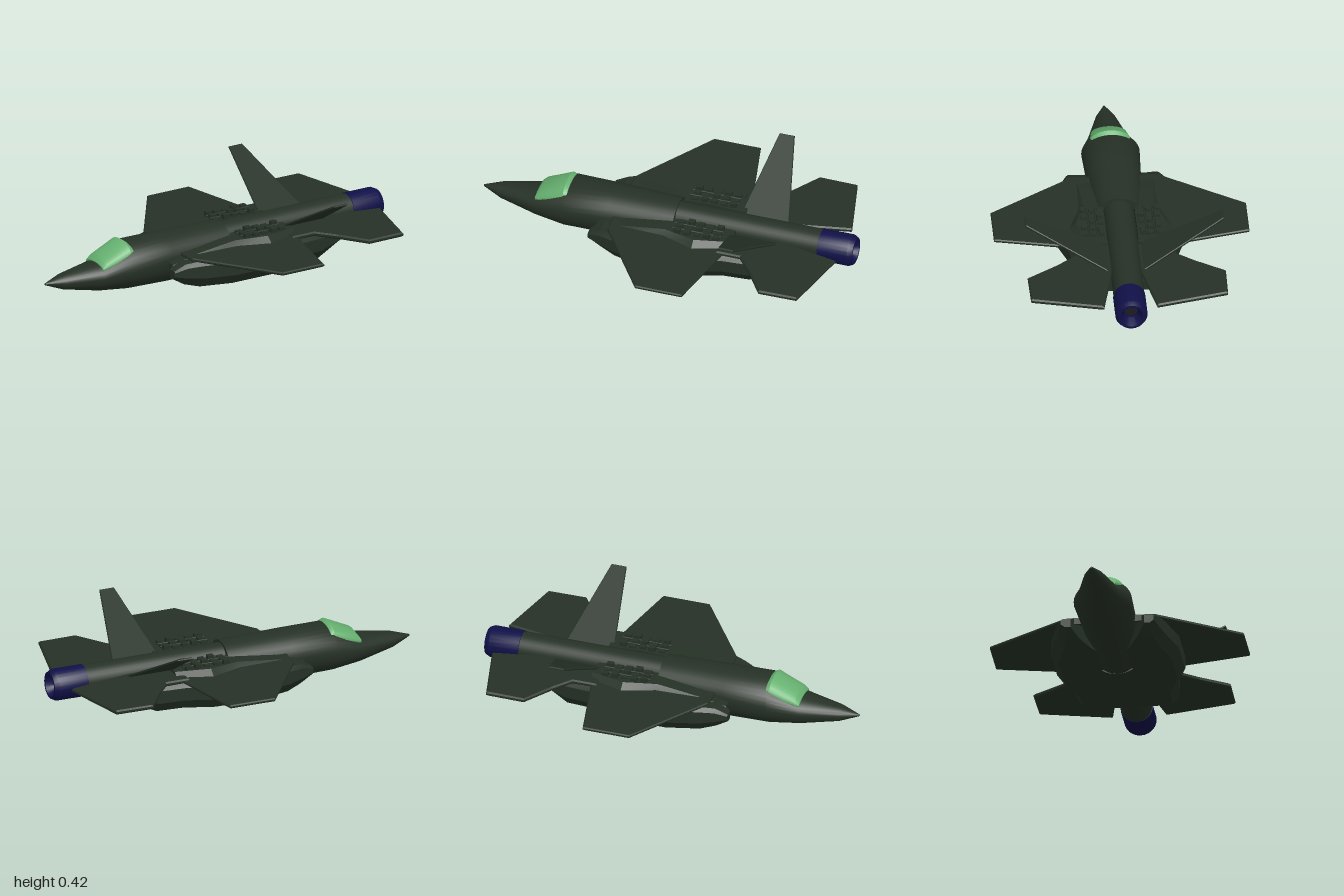
import * as THREE from 'three';
import { toCreasedNormals } from 'three/addons/utils/BufferGeometryUtils.js';

const mat = (name, color) => Object.assign(new THREE.MeshStandardMaterial({ color }), { name });

// Skins rings of [x, y, z] (ordered +z, up, -z, down), running along +x, with capped ends
function loft(rings, side = 1, crease = 0.5) {
  const n = rings[0].length, pos = [], idx = [];
  for (const ring of rings) {
    const r = side > 0 ? ring : [...ring].reverse();
    for (const [x, y, z] of r) pos.push(x, y, z * side);
  }
  for (let i = 0; i < rings.length - 1; i++) {
    for (let j = 0; j < n; j++) {
      const a = i * n + j, b = i * n + (j + 1) % n, c = b + n, d = a + n;
      idx.push(a, d, c, a, c, b);
    }
  }
  const e = (rings.length - 1) * n;
  for (let j = 1; j < n - 1; j++) idx.push(0, j, j + 1, e, e + j + 1, e + j);
  const g = new THREE.BufferGeometry();
  g.setAttribute('position', new THREE.Float32BufferAttribute(pos, 3));
  g.setIndex(idx);
  return toCreasedNormals(g, crease);
}

// Oval section with separate heights above and below its widest line
function oval(x, halfWidth, bottom, mid, top, n = 32) {
  return Array.from({ length: n }, (_, i) => {
    const a = (i / n) * Math.PI * 2, s = Math.sin(a);
    return [x, mid + s * (s > 0 ? top - mid : mid - bottom), halfWidth * Math.cos(a)];
  });
}

// Section of a side pod, chamfered on its outer edges
function pod(x, inner, outer, bottom, top) {
  const w = Math.min(0.04, (outer - inner) * 0.4), h = top - bottom;
  return [
    [x, bottom + h * 0.38, outer], [x, top - h * 0.15, outer], [x, top, outer - w * 0.5],
    [x, top, inner], [x, bottom, inner], [x, bottom, outer - w],
  ];
}

// Flat bevelled plate from an outline of [x, z], centred on y = 0
function plate(points, side, thick) {
  const bevel = thick * 0.3;
  const shape = new THREE.Shape(points.map(([x, z]) => new THREE.Vector2(x, z * side)));
  const g = new THREE.ExtrudeGeometry(shape, {
    depth: thick - bevel * 2, bevelThickness: bevel, bevelSize: bevel, bevelOffset: -bevel, bevelSegments: 1,
  });
  return g.translate(0, 0, bevel - thick / 2).rotateX(Math.PI / 2);
}

export function createModel() {
  const group = new THREE.Group();
  const hull = mat('dark green hull', 0x263126);
  const glass = mat('green canopy', 0x67b271);
  const navy = mat('navy nozzle', 0x101048);
  const dark = mat('nozzle core', 0x1b1b20);
  const add = (name, geometry, material = hull) => {
    const m = new THREE.Mesh(geometry, material);
    m.name = name;
    group.add(m);
    return m;
  };

  // Nose, cockpit section and belly keel
  add('fuselage', loft([
    oval(-1, 0.004, 0.115, 0.12, 0.125),
    oval(-0.9, 0.05, 0.075, 0.117, 0.155),
    oval(-0.7, 0.105, 0.032, 0.12, 0.182),
    oval(-0.54, 0.15, 0.015, 0.145, 0.264),
    oval(-0.3, 0.14, 0.005, 0.15, 0.264),
    oval(0.05, 0.125, 0.005, 0.15, 0.258),
  ]));
  add('keelTail', loft([
    oval(0.05, 0.11, 0.005, 0.08, 0.12),
    oval(0.18, 0.07, 0.035, 0.08, 0.12),
  ]));

  // Canopy over the cockpit
  add('canopy', loft([
    oval(-0.7, 0.085, 0.14, 0.165, 0.185),
    oval(-0.678, 0.092, 0.14, 0.172, 0.215),
    oval(-0.545, 0.106, 0.18, 0.214, 0.278),
    oval(-0.525, 0.106, 0.18, 0.214, 0.264),
  ]), glass);

  // Engine tube and nozzle
  const engineY = 0.168;
  add('engineTube', new THREE.CylinderGeometry(0.08, 0.08, 0.82, 32)
    .rotateZ(-Math.PI / 2).translate(0.41, engineY, 0));
  const nozzle = [[0.07, 0.81], [0.083, 0.815], [0.083, 0.975], [0.07, 1], [0.058, 1], [0.034, 0.95], [0.034, 0.92]]
    .map(([r, x]) => new THREE.Vector2(r, x));
  add('nozzle', toCreasedNormals(new THREE.LatheGeometry(nozzle, 24), 0.5)
    .rotateZ(-Math.PI / 2).translate(0, engineY, 0), navy);
  add('nozzleCore', new THREE.CircleGeometry(0.035, 24)
    .rotateY(Math.PI / 2).translate(0.935, engineY, 0), dark);

  for (const side of [1, -1]) {
    const label = side > 0 ? 'left' : 'right';

    // Intake and lower body pod
    add(label + 'Intake', loft([
      pod(-0.365, 0.19, 0.24, 0.09, 0.135),
      pod(-0.3, 0.15, 0.26, 0.05, 0.165),
      pod(-0.22, 0.1, 0.285, 0.03, 0.175),
      pod(-0.05, 0, 0.33, 0.03, 0.175),
      pod(0.2, 0, 0.33, 0.03, 0.175),
      pod(0.36, 0, 0.275, 0.03, 0.175),
      pod(0.5, 0, 0.265, 0.03, 0.175),
      pod(0.64, 0, 0.23, 0.09, 0.145),
    ], side, 0.3));

    // Raised shoulder between fuselage and wing
    add(label + 'Shoulder', loft(
      [[-0.34, 0.2, 0.15], [-0.2, 0.215, 0.19], [0.03, 0.2, 0.21], [0.2, 0.25, 0.218], [0.38, 0.2, 0.21]]
        .map(([x, z, y]) => [[x, y - 0.035, z + 0.02], [x, y, z - 0.02], [x, y, 0.08], [x, y - 0.035, 0.08]]),
      side, 0.3));

    // Main wing
    add(label + 'Wing', plate(
      [[-0.27, 0.08], [-0.26, 0.235], [0.025, 0.655], [0.275, 0.655], [0.365, 0.25], [0.365, 0.08]],
      side, 0.018).translate(0, 0.179, 0));

    // Tailplane with its root strip
    add(label + 'Tailplane', plate(
      [[0.33, 0.07], [0.33, 0.26], [0.46, 0.26], [0.54, 0.36], [0.64, 0.508], [0.845, 0.505], [0.935, 0.137],
        [0.6, 0.07]],
      side, 0.024).translate(0, 0.183, 0));

    // Canted tail fin
    add(label + 'Fin', plate([[0.35, -0.02], [0.425, 0.48], [0.505, 0.48], [0.615, -0.02]], side, 0.012)
      .rotateX(-0.506 * side).translate(0, 0.187, 0.09 * side));

    // Machinery panel: rows of small blocks and two pipes
    const blocks = new THREE.Group();
    blocks.name = label + 'MachineryPanel';
    for (let i = 0; i < 5; i++) {
      for (let j = 0; j < 3; j++) {
        const h = 0.012 + 0.006 * ((i * 2 + j) % 3);
        const block = new THREE.Mesh(new THREE.BoxGeometry(0.034, h, 0.024 + 0.006 * (i % 2)), hull);
        block.position.set(0.1 + i * 0.052, 0.215 + h / 2, side * (0.105 + j * 0.042));
        block.name = 'block';
        blocks.add(block);
      }
    }
    for (const z of [0.126, 0.168]) {
      const pipe = new THREE.Mesh(new THREE.CylinderGeometry(0.005, 0.005, 0.26, 8).rotateZ(Math.PI / 2), hull);
      pipe.position.set(0.2, 0.222, side * z);
      pipe.name = 'pipe';
      blocks.add(pipe);
    }
    group.add(blocks);
  }

  group.rotation.y = -0.006;
  return group;
}
